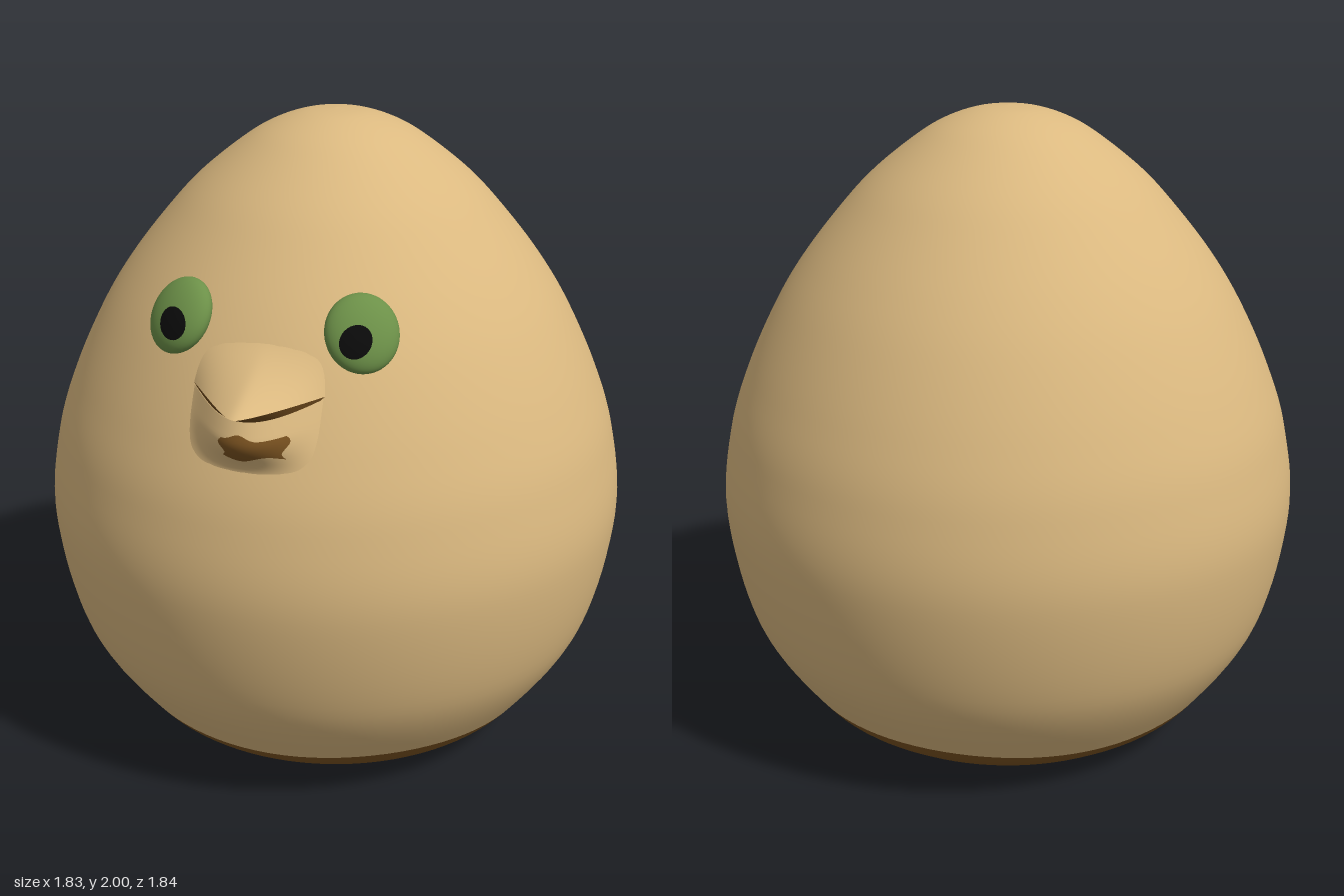
import * as THREE from 'three';

const material = (name, color, side = THREE.FrontSide) => {
  const m = new THREE.MeshStandardMaterial({ color, side });
  m.name = name;
  return m;
};

// Egg profile: radius and height from the rim of the base to the crown
const profile = new THREE.SplineCurve([
  [0.48, 0], [0.6, 0.07], [0.695, 0.157], [0.845, 0.4], [0.913, 0.74], [0.885, 1.0],
  [0.82, 1.2], [0.725, 1.4], [0.63, 1.55], [0.51, 1.7], [0.415, 1.8], [0.29, 1.9],
  [0.2, 1.955], [0.1, 1.99], [0, 2],
].map(([r, y]) => new THREE.Vector2(r, y))).getPoints(112);

function radiusAt(y) {
  const i = Math.max(1, profile.findIndex((p) => p.y >= y));
  const a = profile[i - 1], b = profile[i];
  return a.x + (b.x - a.x) * (y - a.y) / (b.y - a.y);
}

// Point on the egg's front, raised forward by bump
const onEgg = (x, y, bump) => [x, y, Math.sqrt(radiusAt(y) ** 2 - x * x) + bump];

// Grid surface: u runs from the right to the left, v from bottom to top
function patch(nu, nv, point) {
  const pos = [], index = [];
  for (let j = 0; j <= nv; j++) {
    for (let i = 0; i <= nu; i++) pos.push(...point((i / nu) * 2 - 1, j / nv));
  }
  for (let j = 0; j < nv; j++) {
    for (let i = 0; i < nu; i++) {
      const a = j * (nu + 1) + i, d = a + nu + 1;
      index.push(a, a + 1, d, a + 1, d + 1, d);
    }
  }
  const g = new THREE.BufferGeometry();
  g.setAttribute('position', new THREE.Float32BufferAttribute(pos, 3));
  g.setIndex(index);
  g.computeVertexNormals();
  return g;
}

// Lathe whose colour boundary row is made slightly wavy
const SPLIT = 16, splitY = profile[SPLIT].y;
function wavyLathe(points) {
  const g = new THREE.LatheGeometry(points, 96);
  const p = g.attributes.position;
  for (let i = 0; i < p.count; i++) {
    if (Math.abs(p.getY(i) - splitY) > 1e-4) continue;
    const angle = Math.atan2(p.getX(i), p.getZ(i));
    const y = splitY + 0.007 * Math.sin(3 * angle) - 0.004 * Math.cos(5 * angle);
    const r = radiusAt(y);
    p.setXYZ(i, r * Math.sin(angle), y, r * Math.cos(angle));
  }
  return g;
}

// Beak outlines across u
const BEAK_W = 0.2;
const peak = (u) => {
  const a = (Math.sqrt(u * u + 0.01) - 0.1) / (Math.sqrt(1.01) - 0.1);
  return Math.max(0, 1 - a) ** 1.15;
};
const upperLip = (u) => 1.347 + 0.015 * u * u;
const lowerLip = (u) => 1.317 + 0.042 * u * u;
const upperBump = (u) => 0.175 * peak(u) - 0.006;
const chinBump = (u, v) => {
  const across = Math.cos(u * Math.PI / 2) ** 1.3;
  return 0.098 * across * Math.sin(Math.PI / 2 * Math.min(1, v / 0.75)) ** 2 - 0.005;
};
const CHIN_Y = 1.14;
const chinPoint = (u, v, lift = 0) =>
  onEgg(u * BEAK_W, CHIN_Y + (lowerLip(u) - CHIN_Y) * v, chinBump(u, v) + lift);

export function createModel() {
  const tan = material('tan', 0xdbb980);
  const brown = material('brown', 0x7a5220);
  const mouthBrown = material('mouth brown', 0x6f4a1c, THREE.DoubleSide);
  const green = material('green', 0x6c9048);
  const black = material('black', 0x0b0b0b);

  const model = new THREE.Group();
  model.name = 'eggCreature';
  const add = (name, geometry, mat, parent = model) => {
    const mesh = new THREE.Mesh(geometry, mat);
    mesh.name = name;
    parent.add(mesh);
    return mesh;
  };

  // Egg body, brown foot and flat underside
  add('body', wavyLathe(profile.slice(SPLIT)), tan);
  add('foot', wavyLathe(profile.slice(0, SPLIT + 1)), brown);
  add('underside', new THREE.CircleGeometry(0.48, 96).rotateX(Math.PI / 2), brown);

  // Upper beak: pointed lip that fades up into the face
  add('upperBeak', patch(48, 20, (u, v) => onEgg(
    u * BEAK_W,
    upperLip(u) + (1.5 - upperLip(u)) * v,
    (upperBump(u) + 0.006) * (1 - v) ** 1.7 - 0.006,
  )), tan);

  // Mouth slit between the lips
  add('mouth', patch(48, 6, (u, v) => {
    const low = chinBump(u, 1) - 0.004;
    return onEgg(u * BEAK_W, lowerLip(u) + (upperLip(u) - lowerLip(u)) * v,
      low + (upperBump(u) - low) * v);
  }), mouthBrown);

  // Lower beak and the small patch beneath it
  add('lowerBeak', patch(48, 24, (u, v) => chinPoint(u, v)), tan);
  add('chinPatch', patch(16, 8, (s, t) => {
    const u = 0.15 + 0.43 * s * (1 - 0.12 * Math.sin(t * Math.PI * 2));
    const top = 0.73 + 0.1 * Math.exp(-(((u + 0.02) / 0.15) ** 2));
    const bottom = 0.41 + 0.04 * Math.sin(s * 4);
    return chinPoint(u, bottom + (top - bottom) * t, 0.004);
  }), brown);

  // Eyes: flattened ellipsoids lying on the egg, pupils facing forward
  for (const side of [1, -1]) {
    const name = side > 0 ? 'left' : 'right';
    const eye = new THREE.Group();
    eye.name = name + 'Eye';
    model.add(eye);
    const centre = new THREE.Vector3(0.265 * side, 1.517, 0.62);
    const normal = new THREE.Vector3(0.36 * side, 0.52, 0.77);
    const frame = new THREE.Object3D();
    frame.position.copy(centre);
    frame.lookAt(centre.clone().add(normal));
    frame.scale.set(0.104, 0.113, 0.05);
    frame.updateMatrix();
    add(name + 'Eyeball', new THREE.SphereGeometry(1, 40, 28).applyMatrix4(frame.matrix), green, eye);

    // Pupil disc projected along z onto the eyeball
    const inverse = frame.matrix.clone().invert();
    const pupil = new THREE.RingGeometry(0.0005, 0.043, 28, 5);
    const p = pupil.attributes.position;
    for (let i = 0; i < p.count; i++) {
      const x = p.getX(i) + centre.x, y = p.getY(i) + 1.512;
      const o = new THREE.Vector3(x, y, 2).applyMatrix4(inverse);
      const d = new THREE.Vector3(x, y, 1).applyMatrix4(inverse).sub(o);
      const a = d.dot(d), b = o.dot(d), c = o.dot(o) - 1;
      const t = (-b - Math.sqrt(Math.max(0, b * b - a * c))) / a;
      p.setXYZ(i, x, y, 2 - t + 0.004);
    }
    pupil.computeVertexNormals();
    add(name + 'Pupil', pupil, black, eye);
  }
  return model;
}
